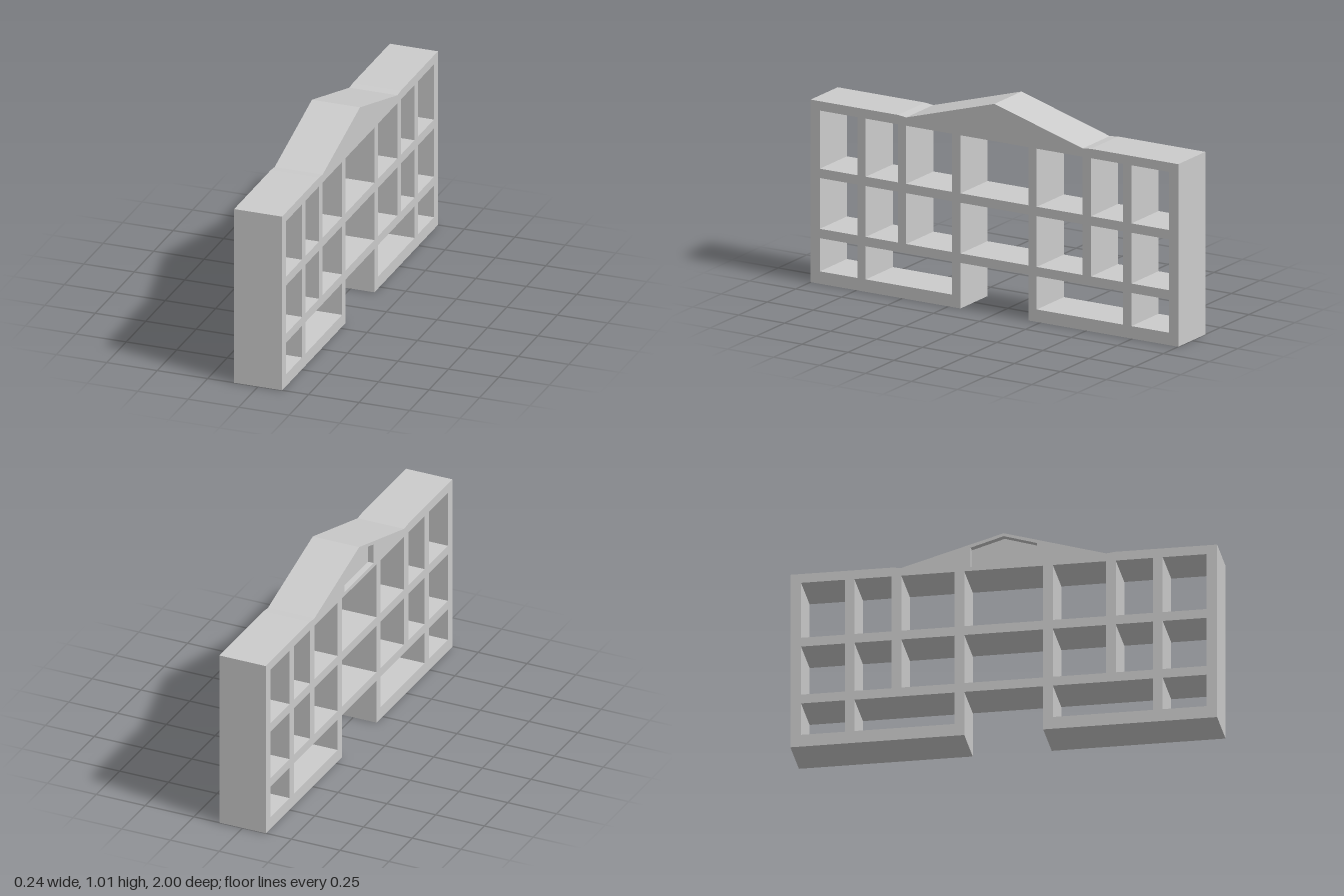
import * as THREE from 'three';

const WIDTH = 0.238;   // thickness of the block along x
const RECESS = 0.03;   // depth of the sunken gable panel

// Window bays: [inner z, outer z], mirrored to both wings
const SIDE_BAYS = [[0.23, 0.48], [0.525, 0.7], [0.745, 0.95]];
const GROUND_BAYS = [[0.23, 0.7], [0.745, 0.95]];
const CENTRE_BAY = [-0.185, 0.185];
const UPPER_ROWS = [[0.265, 0.51], [0.555, 0.835]];
const GROUND_ROW = [0.06, 0.22];

const points = (list) => list.map(([a, b]) => new THREE.Vector2(a, b));

function hole(list) {
  return new THREE.Path(points(list));
}

function rectHole([a, b], [low, high]) {
  return hole([[a, low], [a, high], [b, high], [b, low]]);
}

// Outline with doorway notch and gable, pierced by all windows
function facadeShape() {
  const half = [[0.185, 0.22], [0.185, 0], [1, 0], [1, 0.88], [0.525, 0.88], [0.48, 0.875]];
  const mirrored = half.map(([z, y]) => [-z, y]).reverse();
  const shape = new THREE.Shape(points([...half, [0, 1.015], ...mirrored]));

  const addPair = ([a, b], row) => {
    shape.holes.push(rectHole([a, b], row), rectHole([-b, -a], row));
  };
  for (const row of UPPER_ROWS) {
    shape.holes.push(rectHole(CENTRE_BAY, row));
    for (const bay of SIDE_BAYS) addPair(bay, row);
  }
  for (const bay of GROUND_BAYS) addPair(bay, GROUND_ROW);
  return shape;
}

// Extrude a shape drawn in (z, y) from x = startX towards -x
function slab(name, shape, startX, depth, material) {
  const geometry = new THREE.ExtrudeGeometry(shape, { depth, bevelEnabled: false });
  geometry.rotateY(-Math.PI / 2);
  geometry.translate(startX, 0, 0);
  const mesh = new THREE.Mesh(geometry, material);
  mesh.name = name;
  return mesh;
}

export function createModel() {
  const group = new THREE.Group();
  group.name = 'gabledShelf';
  const material = new THREE.MeshStandardMaterial({ color: 0xcccccc });

  // Main body, open right through at every window
  group.add(slab('body', facadeShape(), WIDTH / 2, WIDTH - RECESS, material));

  // Thin facing on the -x side, with the five-sided gable panel cut out
  const facing = facadeShape();
  facing.holes.push(hole([[-0.155, 0.855], [-0.155, 0.953], [0, 1.0], [0.155, 0.953], [0.155, 0.855]]));
  group.add(slab('gableFacing', facing, -WIDTH / 2 + RECESS, RECESS, material));

  return group;
}
